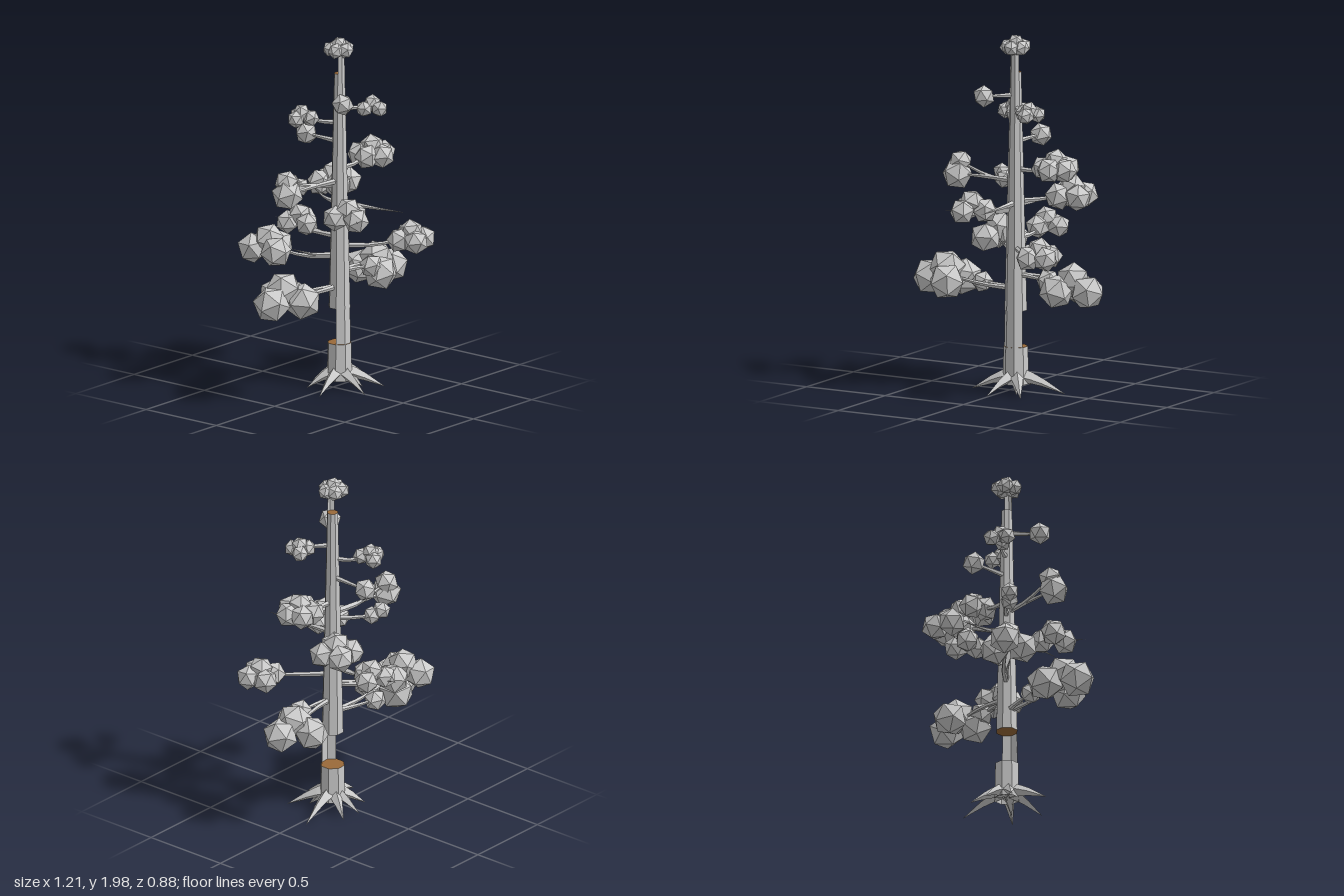
import * as THREE from 'three';

const bark = new THREE.MeshStandardMaterial({ color: 0xcccccc, flatShading: true, side: THREE.DoubleSide });
const leaf = new THREE.MeshStandardMaterial({ color: 0xcccccc, flatShading: true });
const wood = new THREE.MeshStandardMaterial({ color: 0x9a6a3a, flatShading: true });
const CX = 0.042, CZ = 0.012; // trunk axis

function add(parent, name, geometry, material) {
  const mesh = new THREE.Mesh(geometry, material);
  mesh.name = name;
  parent.add(mesh);
  return mesh;
}

function addGroup(parent, name) {
  const group = new THREE.Group();
  group.name = name;
  parent.add(group);
  return group;
}

// Eight-sided trunk wall from y0 to y1; faces = how many sides are kept, centred on the front
function wall(parent, name, y0, y1, r0, r1, faces = 8) {
  const arc = faces * Math.PI / 4;
  const start = -arc / 2 + (faces === 8 ? Math.PI / 8 : 0);
  const g = new THREE.CylinderGeometry(r1, r0, y1 - y0, faces, 1, true, start, arc);
  g.translate(CX, (y0 + y1) / 2, CZ);
  add(parent, name, g, bark);
}

// Sawn face of the trunk
function cut(parent, name, y, r, up) {
  const g = new THREE.CircleGeometry(r, 8, Math.PI / 8);
  g.rotateX(up ? -Math.PI / 2 : Math.PI / 2);
  g.translate(CX, y, CZ);
  add(parent, name, g, wood);
}

// Curved limb of few sides that narrows along its path
function limb(parent, name, points, r0, r1, sides = 5, steps = 5) {
  const curve = new THREE.CatmullRomCurve3(points.map(p => new THREE.Vector3(...p)));
  const g = new THREE.TubeGeometry(curve, steps, 1, sides, false);
  const pos = g.attributes.position, v = new THREE.Vector3();
  for (let i = 0; i < pos.count; i++) {
    const t = Math.floor(i / (sides + 1)) / steps;
    const c = curve.getPointAt(t);
    v.fromBufferAttribute(pos, i).sub(c).multiplyScalar(r0 + (r1 - r0) * t).add(c);
    pos.setXYZ(i, v.x, v.y, v.z);
  }
  g.computeVertexNormals();
  add(parent, name, g, bark);
}

// Limb from the trunk at height y, first level and then bending to its end
function branch(parent, name, y, [x, ey, z], r0, r1) {
  const mid = [CX + (x - CX) * 0.45, y, CZ + (z - CZ) * 0.55];
  limb(parent, name, [[CX, y, CZ], mid, [x, ey, z]], r0, r1);
}

// Foliage: branch height, centre x, y, z, ball radius, balls in the ring, turn of the ring in degrees
const clumps = [
  [0.58, -0.41, 0.61, -0.01, 0.1, 3, 180],
  [0.58, -0.22, 0.58, -0.07, 0.06],
  [0.66, 0.395, 0.62, -0.015, 0.095, 3, 10],
  [0.66, 0.27, 0.65, 0.05, 0.065],
  [0.75, -0.23, 0.82, -0.265, 0.085, 3, 115],
  [0.81, 0.345, 0.84, 0.27, 0.068, 4, 30],
  [0.86, 0.06, 0.9, -0.285, 0.065, 3, 225],
  [1.02, -0.12, 1.05, 0.21, 0.07, 3, 105],
  [1.07, 0.265, 1.1, -0.21, 0.075, 4, 35],
  [1.15, -0.155, 1.16, -0.17, 0.05, 1, 45],
  [1.18, -0.355, 1.175, -0.03, 0.085],
  [1.18, -0.345, 1.24, -0.045, 0.065],
  [1.25, 0.305, 1.29, 0.025, 0.068, 5, 20],
  [1.4, 0.055, 1.4, -0.235, 0.062],
  [1.51, -0.075, 1.54, -0.16, 0.047, 3, 60],
  [1.59, 0.19, 1.59, 0.12, 0.046, 3, 80],
  [1.66, -0.085, 1.66, 0.14, 0.06],
  [1.88, 0.04, 1.935, 0.01, 0.044, 5, 90],
];

// Bare twigs: pointed end and starting height on the trunk
const twigs = [
  [[0.08, 1.065, 0.44], 1.06], [[0.035, 0.895, -0.44], 0.86], [[-0.22, 1.05, 0.36], 1.03],
  [[0.13, 1.07, -0.24], 1.05], [[-0.16, 0.8, -0.16], 0.76],
];

// Root tips on the ground: [x, z]
const rootTips = [
  [0.325, -0.04], [0.19, 0.21], [-0.01, 0.235], [-0.2, 0.07],
  [-0.1, -0.1], [0.03, -0.17], [0.15, -0.16], [0.11, 0.12],
];

export function createModel() {
  const tree = new THREE.Group();
  tree.name = 'tree';

  // Trunk: full sections joined by strips of front bark where the back is cut away
  const trunk = addGroup(tree, 'trunk');
  wall(trunk, 'stump', 0.05, 0.26, 0.072, 0.068);
  cut(trunk, 'stumpCut', 0.26, 0.068, true);
  wall(trunk, 'lowerBarkStrip', 0.26, 0.48, 0.064, 0.06, 3);
  wall(trunk, 'mainTrunk', 0.46, 1.79, 0.062, 0.031);
  cut(trunk, 'trunkLowerCut', 0.46, 0.062, false);
  cut(trunk, 'trunkTopCut', 1.79, 0.031, true);
  wall(trunk, 'upperBarkStrip', 1.79, 1.93, 0.031, 0.028, 3);

  // Roots spreading from the stump
  const roots = addGroup(tree, 'roots');
  for (const [x, z] of rootTips) {
    const at = (t, y) => [CX + (x - CX) * t, y, CZ + (z - CZ) * t];
    limb(roots, 'root', [at(0.1, 0.1), at(0.45, 0.075), at(1, 0.01)], 0.042, 0.001, 4, 4);
  }

  // Each clump: one raised ball with a lower ring of balls around it
  clumps.forEach(([branchY, x, y, z, r, ring = 0, turn = 0], n) => {
    const clump = addGroup(tree, 'foliageClump');
    for (let i = 0; i <= ring; i++) {
      const a = turn * Math.PI / 180 + i * 2 * Math.PI / Math.max(ring, 1);
      const spread = i ? r * 1.05 : 0;
      const lift = ring ? (i ? -0.2 : 0.4) * r : 0;
      const ball = add(clump, 'foliageBall', new THREE.IcosahedronGeometry(r * 1.04, 0), leaf);
      ball.position.set(x + spread * Math.cos(a), y + lift, z + spread * Math.sin(a));
      ball.rotation.set(0.3 + 0.2 * i, n * 0.9 + i * 1.3, 0);
    }
    // The crown stands on the bark strip, so only lower clumps need a branch
    if (branchY < 1.79) branch(clump, 'branch', branchY, [x, y, z], 0.016, 0.007);
  });

  for (const [tip, y] of twigs) branch(tree, 'twig', y, tip, 0.018, 0.0005);
  return tree;
}
